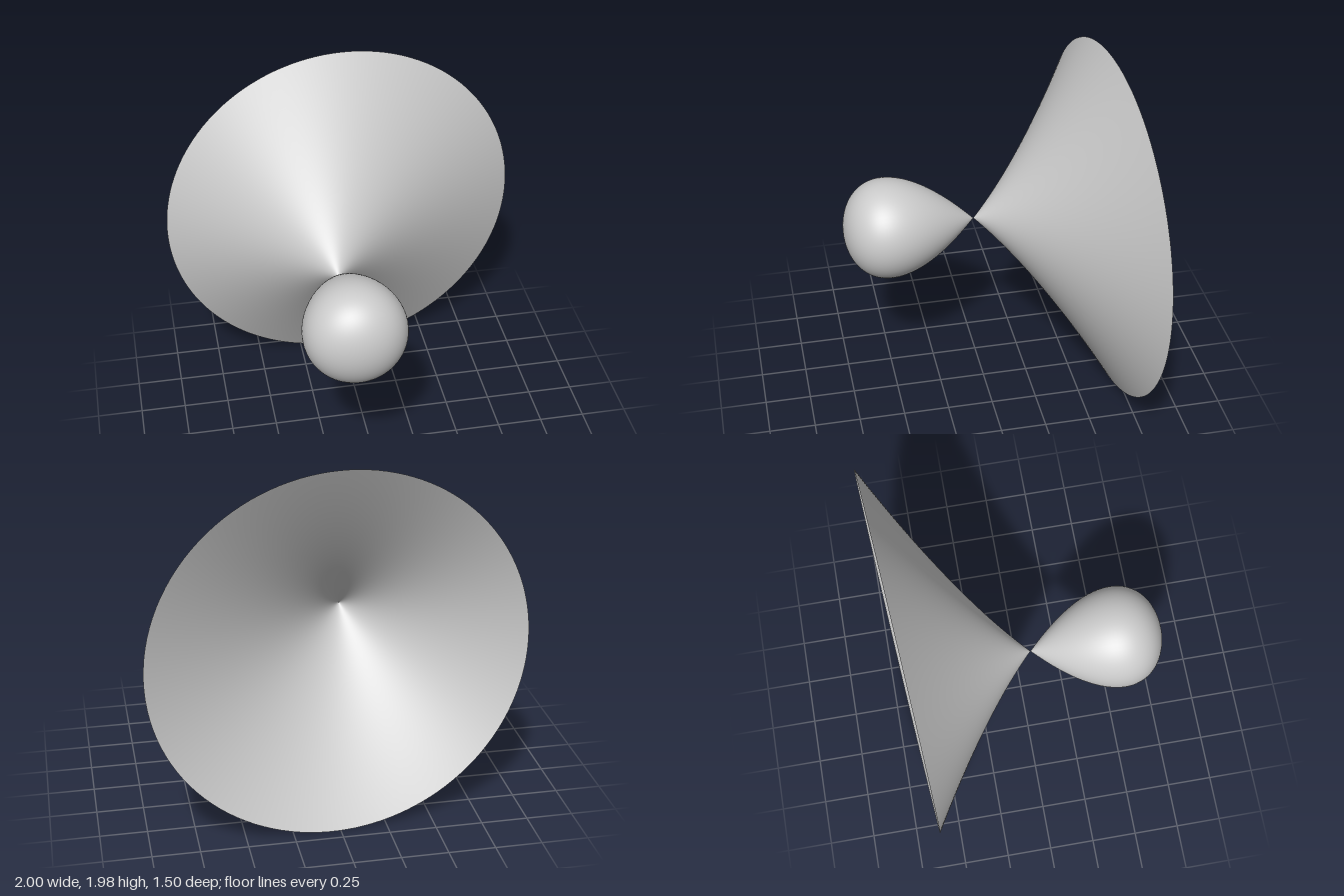
import * as THREE from 'three';
import { ParametricGeometry } from 'three/addons/geometries/ParametricGeometry.js';

// Surface of revolution r^2 = s^2 (1 - s / L) about a z-parallel axis through the apex:
// s > 0 closes into the drop, s < 0 opens into the flared cone.
const L = 0.715;
const APEX = new THREE.Vector3(-0.13, 1.008, 0.03);
const radiusAt = (s) => Math.abs(s) * Math.sqrt(Math.max(0, 1 - s / L));

// Depth of the slightly tilted rim plane behind the apex, at a given angle
function rimDepth(angle) {
  let t = 0.71;
  for (let i = 0; i < 20; i++) {
    const r = radiusAt(-t);
    const x = APEX.x + r * Math.cos(angle);
    const y = APEX.y + r * Math.sin(angle);
    t = APEX.z + 0.678 + 0.0735 * x - 0.005 * (y - 1);
  }
  return t;
}

export function createModel() {
  const group = new THREE.Group();
  const material = new THREE.MeshStandardMaterial({ color: 0xcccccc, side: THREE.DoubleSide });

  // Drop: lathe profile from the apex to the rounded front, w = sqrt(1 - s / L)
  const profile = [];
  const steps = 40;
  for (let i = 0; i <= steps; i++) {
    const w = 1 - i / steps;
    const s = L * (1 - w * w);
    profile.push(new THREE.Vector2(s * w, s));
  }
  const drop = new THREE.Mesh(new THREE.LatheGeometry(profile, 64).rotateX(Math.PI / 2), material);
  drop.name = 'drop';
  drop.position.copy(APEX);
  group.add(drop);

  // Flared cone: thin open sheet from the apex back to the tilted rim
  const flare = new ParametricGeometry((u, v, target) => {
    const angle = u * Math.PI * 2;
    const t = Math.max(v, 1e-3) * rimDepth(angle);
    const r = radiusAt(-t);
    target.set(r * Math.cos(angle), r * Math.sin(angle), -t);
  }, 128, 32);
  const cone = new THREE.Mesh(flare, material);
  cone.name = 'flaredCone';
  cone.position.copy(APEX);
  group.add(cone);

  return group;
}
